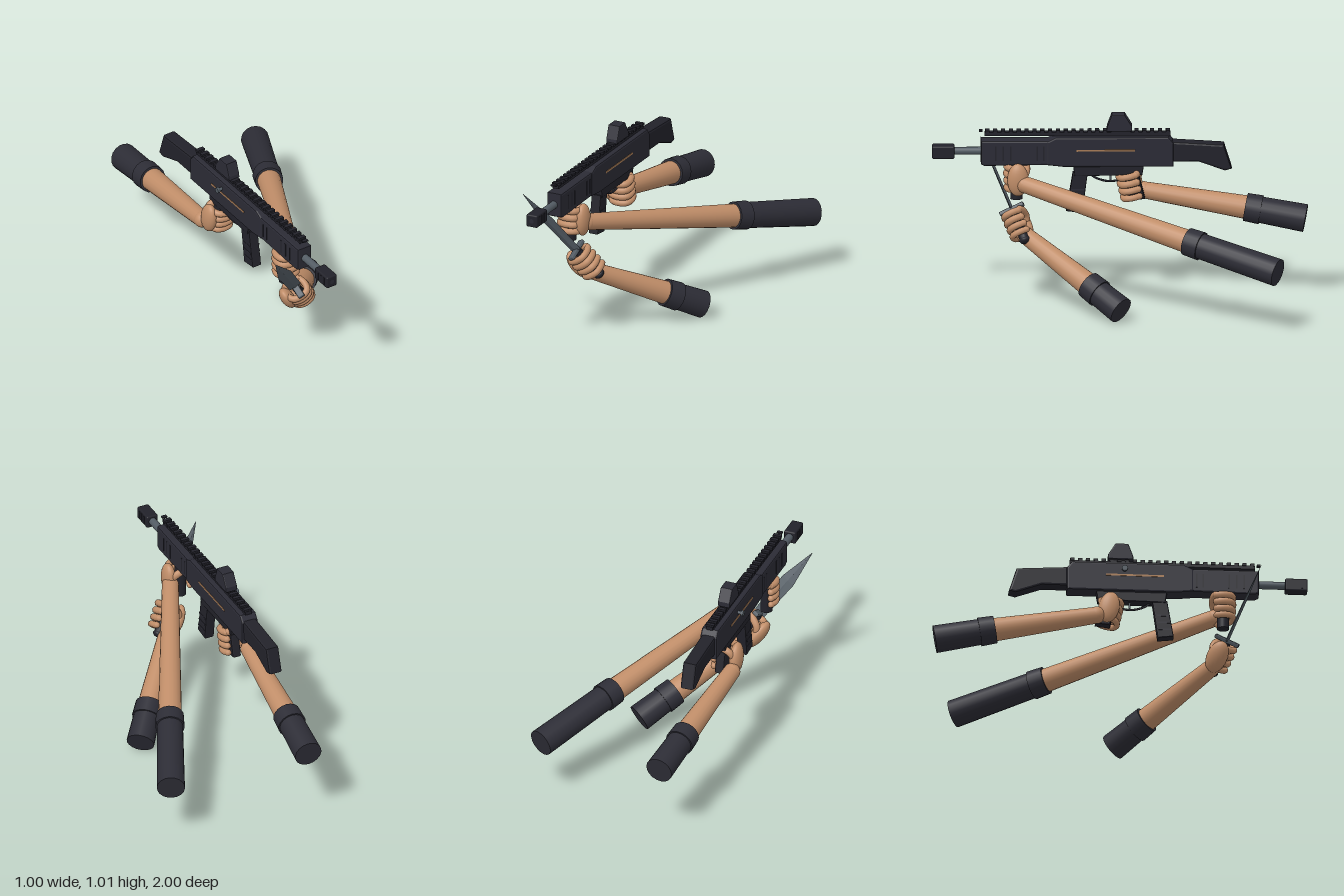
import * as THREE from 'three';
import { RoundedBoxGeometry } from 'three/addons/geometries/RoundedBoxGeometry.js';

const material = (name, color) => Object.assign(new THREE.MeshStandardMaterial({ color }), { name });
const V = (x, y, z) => new THREE.Vector3(x, y, z);

export function createModel() {
  const model = new THREE.Group();
  model.name = 'rifleAndArms';
  const gunmetal = material('gunmetal', 0x2b2b35);
  const black = material('black polymer', 0x22222a);
  const cloth = material('sleeve cloth', 0x2d2d36);
  const skin = material('skin', 0xc18e69);
  const steel = material('steel', 0x535c64);
  const bronze = material('bronze', 0xa87c56);

  const add = (parent, name, geometry, mat, x = 0, y = 0, z = 0) => {
    const mesh = new THREE.Mesh(geometry, mat);
    mesh.name = name;
    mesh.position.set(x, y, z);
    parent.add(mesh);
    return mesh;
  };
  const box = (parent, name, w, h, d, mat, x, y, z) =>
    add(parent, name, new THREE.BoxGeometry(w, h, d), mat, x, y, z);

  // tapered round bar between two points
  const bar = (parent, name, a, b, ra, rb, mat, sides = 18) => {
    const mesh = add(parent, name, new THREE.CylinderGeometry(rb, ra, a.distanceTo(b), sides), mat);
    mesh.position.copy(a).lerp(b, 0.5);
    mesh.quaternion.setFromUnitVectors(V(0, 1, 0), b.clone().sub(a).normalize());
    return mesh;
  };

  // side profile of [z, y] points, widened along x with bevelled edges
  const slab = (parent, name, points, width, mat, bevel = 0.01) => {
    const shape = new THREE.Shape(points.map(([z, y]) => new THREE.Vector2(z, y)));
    const geometry = new THREE.ExtrudeGeometry(shape, {
      depth: width - 2 * bevel, bevelThickness: bevel, bevelSize: bevel, bevelOffset: -bevel, bevelSegments: 2,
    });
    geometry.translate(0, 0, bevel - width / 2).rotateY(-Math.PI / 2);
    return add(parent, name, geometry, mat);
  };

  // ---- rifle, built on x = 0 and then shifted ----
  const rifle = new THREE.Group();
  rifle.name = 'rifle';
  rifle.position.x = -0.31;
  model.add(rifle);

  slab(rifle, 'receiver', [[0.39, 0.75], [0.39, 0.88], [0.34, 0.905], [-0.26, 0.905], [-0.287, 0.87],
    [-0.287, 0.74], [0.3, 0.74]], 0.096, gunmetal);
  slab(rifle, 'handguard', [[0.74, 0.755], [0.74, 0.885], [0.36, 0.885], [0.36, 0.75], [0.72, 0.745]], 0.088, gunmetal);
  slab(rifle, 'lowerReceiver', [[0.25, 0.75], [-0.13, 0.75], [-0.12, 0.69], [0.24, 0.685]], 0.065, black, 0.006);
  slab(rifle, 'stock', [[-0.28, 0.877], [-0.555, 0.86], [-0.597, 0.725], [-0.56, 0.715], [-0.42, 0.765],
    [-0.28, 0.765]], 0.078, black, 0.012);
  slab(rifle, 'magazine', [[0.25, 0.7], [0.285, 0.49], [0.2, 0.48], [0.17, 0.7]], 0.056, black, 0.006);
  slab(rifle, 'pistolGrip', [[-0.01, 0.7], [-0.1, 0.7], [-0.135, 0.555], [-0.055, 0.545]], 0.052, black);
  add(rifle, 'foregrip', new THREE.CylinderGeometry(0.03, 0.033, 0.2, 14), black, 0, 0.655, 0.55);
  for (const z of [0.66, 0.62, 0.58, 0.44, 0.405])
    box(rifle, 'handguardRib', 0.092, 0.08, 0.008, black, 0, 0.815, z);
  for (const y of [0.53, 0.57, 0.61])
    box(rifle, 'magazineRib', 0.06, 0.008, 0.07, gunmetal, 0, y, 0.228 + (0.6 - y) * 0.16);

  // barrel and muzzle
  bar(rifle, 'barrel', V(0, 0.82, 0.72), V(0, 0.82, 0.9), 0.021, 0.021, steel);
  add(rifle, 'muzzleBrake', new RoundedBoxGeometry(0.066, 0.07, 0.12, 2, 0.008), black, 0, 0.817, 0.94);
  add(rifle, 'bore', new THREE.CircleGeometry(0.013, 16), gunmetal, 0, 0.817, 1.0005);
  for (const z of [0.915, 0.945, 0.97])
    box(rifle, 'muzzleRib', 0.07, 0.045, 0.008, black, 0, 0.817, z);

  // toothed top rail
  box(rifle, 'rail', 0.036, 0.02, 0.99, black, 0, 0.915, 0.225);
  for (let i = 0; i < 24; i++)
    box(rifle, 'railTooth', 0.046, 0.014, 0.022, black, 0, 0.929, 0.705 - i * 0.0418);
  box(rifle, 'frontSight', 0.03, 0.008, 0.02, black, 0, 0.931, 0.74);
  box(rifle, 'sightMount', 0.036, 0.035, 0.09, black, 0, 0.925, 0);
  slab(rifle, 'opticalSight', [[0.07, 0.932], [0.068, 0.955], [0.042, 1.025], [-0.026, 1.025], [-0.066, 0.96],
    [-0.066, 0.932]], 0.068, gunmetal, 0.006);

  // trigger guard, trigger and charging handle
  const guardPath = new THREE.CatmullRomCurve3([V(0, 0.69, 0.16), V(0, 0.665, 0.12), V(0, 0.65, 0.06), V(0, 0.66, 0), V(0, 0.69, -0.02)]);
  add(rifle, 'triggerGuard', new THREE.TubeGeometry(guardPath, 16, 0.006, 6), black);
  box(rifle, 'trigger', 0.01, 0.035, 0.01, steel, 0, 0.675, 0.05);
  bar(rifle, 'chargingHandle', V(-0.04, 0.86, 0.02), V(-0.075, 0.86, 0.02), 0.009, 0.009, steel, 12);
  bar(rifle, 'chargingKnob', V(-0.068, 0.86, 0.02), V(-0.081, 0.86, 0.02), 0.016, 0.016, steel, 12);
  for (const side of [-1, 1])
    box(rifle, 'sideStripe', 0.004, 0.01, 0.31, bronze, side * 0.0485, 0.832, 0.075);

  // ---- hand around a grip on local y; the palm sits on the given x side ----
  const makeHand = (name, side) => {
    const hand = new THREE.Group();
    hand.name = name;
    model.add(hand);
    const palm = add(hand, 'palm', new THREE.SphereGeometry(1, 20, 14), skin, side * 0.073, 0, -0.005);
    palm.scale.set(0.036, 0.09, 0.056);
    for (let i = 0; i < 4; i++) {
      const y = 0.058 - i * 0.039;
      const r = 0.0195 - Math.abs(i - 1) * 0.001;
      const path = new THREE.CatmullRomCurve3([V(side * 0.068, y, 0.005), V(side * 0.045, y, 0.043),
        V(0, y, 0.054), V(-side * 0.04, y, 0.04), V(-side * 0.05, y, 0), V(-side * 0.04, y, -0.035)]);
      add(hand, 'finger', new THREE.TubeGeometry(path, 20, r, 10), skin);
      add(hand, 'fingertip', new THREE.SphereGeometry(r, 10, 8), skin).position.copy(path.getPoint(1));
    }
    const thumbPath = new THREE.CatmullRomCurve3([V(side * 0.075, 0, -0.03), V(side * 0.045, 0.04, -0.05),
      V(0, 0.058, -0.05), V(-side * 0.03, 0.062, -0.042)]);
    add(hand, 'thumb', new THREE.TubeGeometry(thumbPath, 14, 0.02, 10), skin);
    add(hand, 'thumbTip', new THREE.SphereGeometry(0.02, 10, 8), skin).position.copy(thumbPath.getPoint(1));
    return hand;
  };

  // forearm with a cuffed sleeve
  const makeArm = (name, wrist, cuff, end) => {
    const arm = new THREE.Group();
    arm.name = name;
    model.add(arm);
    const along = end.clone().sub(cuff).normalize();
    add(arm, 'wrist', new THREE.SphereGeometry(0.046, 18, 12), skin).position.copy(wrist);
    bar(arm, 'forearm', wrist, cuff.clone().addScaledVector(along, 0.03), 0.045, 0.064, skin);
    bar(arm, 'sleeve', cuff.clone().addScaledVector(along, 0.02), end, 0.069, 0.075, cloth);
    bar(arm, 'cuff', cuff, cuff.clone().addScaledVector(along, 0.085), 0.075, 0.078, cloth);
  };

  const triggerHand = makeHand('triggerHand', -1);
  triggerHand.position.set(-0.31, 0.628, -0.06);
  triggerHand.rotation.x = 0.2;
  makeArm('triggerArm', V(-0.382, 0.58, -0.13), V(-0.337, 0.497, -0.67), V(-0.308, 0.442, -0.99));

  const supportHand = makeHand('supportHand', 1);
  supportHand.position.set(-0.31, 0.678, 0.548);
  makeArm('supportArm', V(-0.232, 0.655, 0.51), V(0.2, 0.46, -0.355), V(0.432, 0.352, -0.835));

  makeArm('knifeArm', V(-0.225, 0.385, 0.515), V(0.06, 0.182, 0.17), V(0.2, 0.078, -0.002));

  // ---- knife: local y runs to the tip, x across the blade ----
  const axis = V(-0.24, 0.34, 0.165).normalize();
  const across = V(1, 0, 0).addScaledVector(axis, -axis.x).normalize();
  const normal = across.clone().cross(axis);
  const frame = new THREE.Matrix4().makeBasis(across, axis, normal);
  const knife = new THREE.Group();
  knife.name = 'knife';
  knife.position.set(-0.26, 0.51, 0.575);
  knife.quaternion.setFromRotationMatrix(frame);
  model.add(knife);

  // blade of stacked diamond sections: [y, half width, half thickness]
  const sections = [[0, 0.034, 0.009], [0.24, 0.04, 0.008], [0.447, 0.0005, 0.0005]];
  const corners = sections.map(([y, w, t]) => [[w, y, 0], [0, y, t], [-w, y, 0], [0, y, -t]]);
  const positions = [];
  for (let s = 0; s < 2; s++)
    for (let k = 0; k < 4; k++) {
      const n = (k + 1) % 4;
      const [a, b, c, d] = [corners[s][k], corners[s][n], corners[s + 1][n], corners[s + 1][k]];
      positions.push(...a, ...c, ...b, ...a, ...d, ...c);
    }
  const blade = new THREE.BufferGeometry();
  blade.setAttribute('position', new THREE.Float32BufferAttribute(positions, 3));
  blade.computeVertexNormals();
  steel.side = THREE.DoubleSide;
  add(knife, 'blade', blade, steel);
  add(knife, 'crossguard', new RoundedBoxGeometry(0.036, 0.022, 0.14, 2, 0.006), steel);
  bar(knife, 'handle', V(0, -0.01, 0), V(0, -0.195, 0), 0.024, 0.027, black, 14);
  add(knife, 'pommel', new THREE.SphereGeometry(0.03, 14, 10), black, 0, -0.187, 0).scale.y = 0.7;

  const knifeHand = makeHand('knifeHand', -1);
  knifeHand.position.copy(knife.position).addScaledVector(axis, -0.09);
  knifeHand.quaternion.copy(knife.quaternion);
  return model;
}
